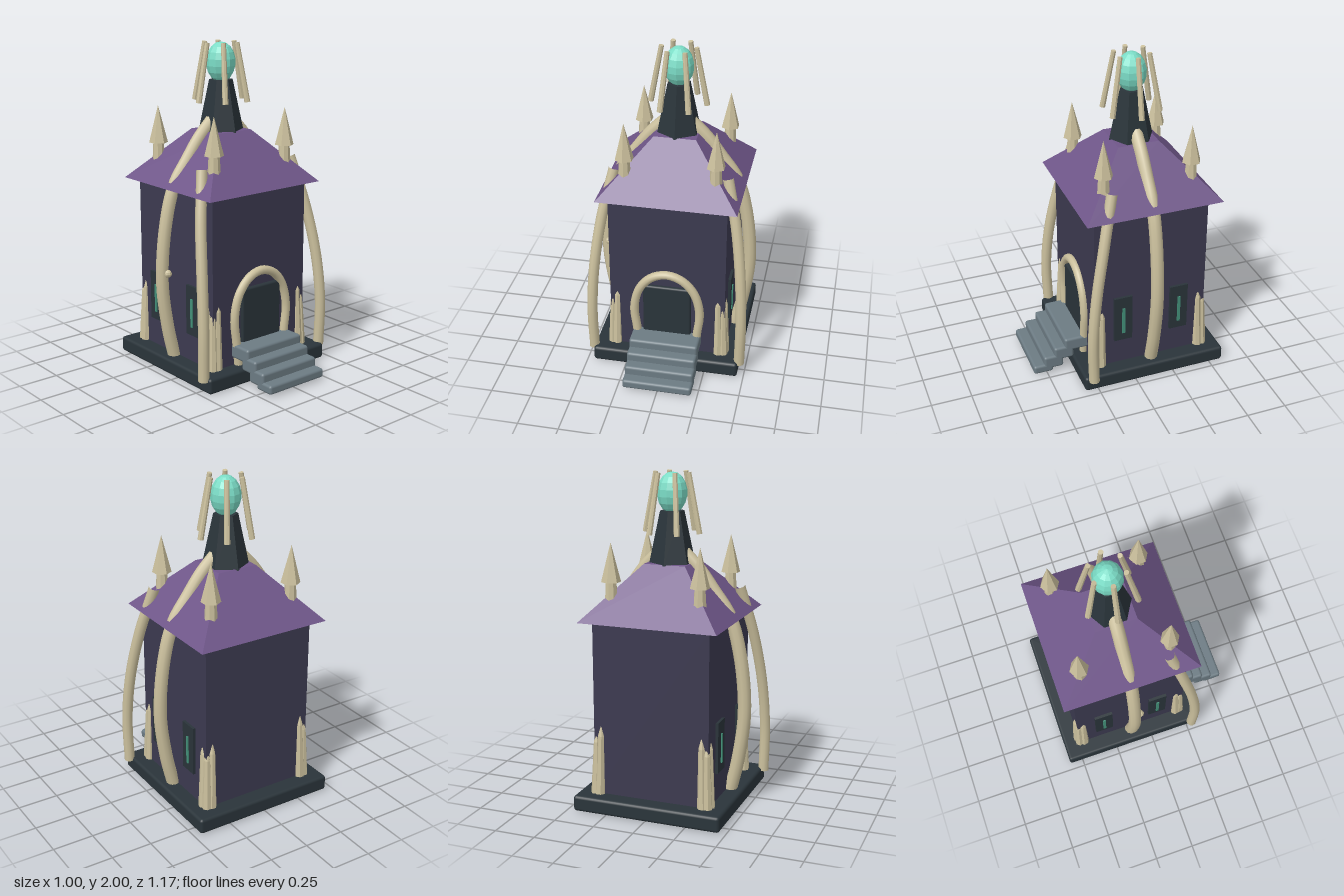
import * as THREE from 'three';
import { RoundedBoxGeometry } from 'three/addons/geometries/RoundedBoxGeometry.js';

const CZ = -0.127; // centre of the tower in depth

export function createModel() {
  const model = new THREE.Group();
  model.name = 'tower';

  const mat = (name, color) => {
    const m = new THREE.MeshStandardMaterial({ color });
    m.name = name;
    return m;
  };
  const wall = mat('slate violet wall', 0x3c3a50);
  const roofMat = mat('purple roof', 0x6f5689);
  const dark = mat('dark stone', 0x2a343a);
  const stone = mat('grey step stone', 0x6c7b83);
  const bone = mat('bone', 0xcbc09d);
  const orbMat = mat('glowing teal', 0x7bdcc6);
  const slitMat = mat('deep teal', 0x439079);

  const add = (name, geo, material, x = 0, y = 0, z = 0, parent = model) => {
    const mesh = new THREE.Mesh(geo, material);
    mesh.name = name;
    mesh.position.set(x, y, z);
    parent.add(mesh);
    return mesh;
  };
  // Faceted normals
  const flat = (geo) => {
    const g = geo.toNonIndexed();
    g.computeVertexNormals();
    return g;
  };
  const tube = (points, radius, segments = 40) =>
    new THREE.TubeGeometry(
      new THREE.CatmullRomCurve3(points.map((p) => new THREE.Vector3(...p))), segments, radius, 10);
  // Straight tapered rod between two points
  const rod = (name, a, b, r0, r1, sides, material, parent = model) => {
    const from = new THREE.Vector3(...a);
    const dir = new THREE.Vector3(...b).sub(from);
    const mesh = add(name, flat(new THREE.CylinderGeometry(r1, r0, dir.length(), sides)), material, 0, 0, 0, parent);
    mesh.position.copy(from).addScaledVector(dir, 0.5);
    mesh.quaternion.setFromUnitVectors(new THREE.Vector3(0, 1, 0), dir.normalize());
    return mesh;
  };

  // Foundation and body
  add('foundation', new RoundedBoxGeometry(0.92, 0.096, 0.92, 2, 0.018), dark, 0, 0.052, CZ);
  add('walls', new THREE.BoxGeometry(0.72, 1.06, 0.72), wall, 0, 0.63, CZ + 0.004);

  // Roof: truncated pyramid
  const roofGeo = new THREE.CylinderGeometry(0.128 * Math.SQRT2, 0.425 * Math.SQRT2, 0.315, 4);
  roofGeo.rotateY(Math.PI / 4);
  add('roof', flat(roofGeo), roofMat, 0, 1.3125, CZ);

  // Spire and orb
  add('spire', flat(new THREE.CylinderGeometry(0.072, 0.138, 0.31, 6)), dark, 0, 1.618, CZ);
  const orbGeo = new THREE.SphereGeometry(0.09, 12, 9);
  orbGeo.scale(1, 1.35, 1);
  add('orb', flat(orbGeo), orbMat, 0, 1.877, CZ);

  // Ring of prongs leaning in around the orb
  const prongs = new THREE.Group();
  prongs.name = 'prongs';
  model.add(prongs);
  for (let i = 0; i < 6; i++) {
    const c = Math.cos((i * Math.PI) / 3), s = Math.sin((i * Math.PI) / 3);
    rod('prong', [0.17 * c, 1.643, CZ + 0.17 * s], [0.103 * c, 1.997, CZ + 0.103 * s], 0.018, 0.015, 8, bone, prongs);
  }

  // Front steps
  for (let i = 0; i < 4; i++) {
    const top = 0.077 + 0.053 * i;
    const h = i === 0 ? 0.057 : 0.088;
    const depth = i === 3 ? 0.16 : 0.125;
    add('step', new RoundedBoxGeometry(0.43, h, depth, 2, 0.016), stone, 0, top - h / 2, 0.587 - 0.068 * i - depth / 2);
  }

  // Door and its horseshoe arch
  add('door', new RoundedBoxGeometry(0.3, 0.47, 0.04, 2, 0.012), dark, 0, 0.335, 0.24);
  add('doorArch', tube([
    [-0.175, 0.1, 0.25], [-0.192, 0.25, 0.25], [-0.206, 0.4, 0.25], [-0.172, 0.54, 0.25], [-0.095, 0.63, 0.25],
    [0, 0.66, 0.25],
    [0.095, 0.63, 0.25], [0.172, 0.54, 0.25], [0.206, 0.4, 0.25], [0.192, 0.25, 0.25], [0.175, 0.1, 0.25],
  ], 0.027, 48), bone);

  for (const s of [-1, 1]) {
    const side = s > 0 ? 'left' : 'right';

    // Bowed side rib running up through the roof to the spire
    add(side + 'SideRib', tube([
      [s * 0.375, 0.08, CZ], [s * 0.425, 0.3, CZ], [s * 0.459, 0.6, CZ], [s * 0.425, 0.95, CZ],
      [s * 0.36, 1.17, CZ], [s * 0.26, 1.315, CZ], [s * 0.17, 1.435, CZ], [s * 0.075, 1.53, CZ],
    ], 0.04, 64), bone);

    // Leaning rib at the front corner
    add(side + 'FrontRib', tube([
      [s * 0.465, 0.08, 0.28], [s * 0.468, 0.38, 0.285], [s * 0.452, 0.68, 0.255],
      [s * 0.41, 1.0, 0.192], [s * 0.342, 1.3, 0.12],
    ], 0.033), bone);

    // Narrow side windows
    for (const z of [0.057, -0.307]) {
      add(side + 'WindowFrame', new THREE.BoxGeometry(0.03, 0.31, 0.116), dark, s * 0.362, 0.43, z);
      add(side + 'WindowSlit', new THREE.BoxGeometry(0.008, 0.18, 0.018), slitMat, s * 0.38, 0.418, z);
    }

    for (const f of [-1, 1]) {
      // Roof pinnacle
      const pinnacle = new THREE.Group();
      pinnacle.name = 'pinnacle';
      pinnacle.position.set(s * 0.273, 0, CZ + f * 0.273);
      model.add(pinnacle);
      add('pinnaclePost', flat(new THREE.CylinderGeometry(0.032, 0.04, 0.13, 8)), bone, 0, 1.325, 0, pinnacle);
      add('pinnacleCap', flat(new THREE.ConeGeometry(0.058, 0.23, 6)), bone, 0, 1.495, 0, pinnacle);

      // Cluster of spikes at the wall corner
      const cluster = new THREE.Group();
      cluster.name = 'cornerSpikes';
      model.add(cluster);
      for (const [x, d, h] of [[0.325, 0.36, 0.44], [0.36, 0.325, 0.43], [0.355, 0.355, 0.39]]) {
        const at = (k, y) => [s * (x - k), y, CZ + f * (d - k)];
        const neck = 0.1 + h * 0.82;
        rod('spikeShaft', at(0, 0.09), at(0.008, neck), 0.031, 0.02, 7, bone, cluster);
        rod('spikeTip', at(0.008, neck), at(0.01, 0.1 + h), 0.02, 0.001, 7, bone, cluster);
      }
    }
  }

  // Small knot on one side rib
  add('ribKnot', flat(new THREE.SphereGeometry(0.024, 8, 6)), bone, -0.445, 0.645, CZ + 0.04);

  return model;
}
